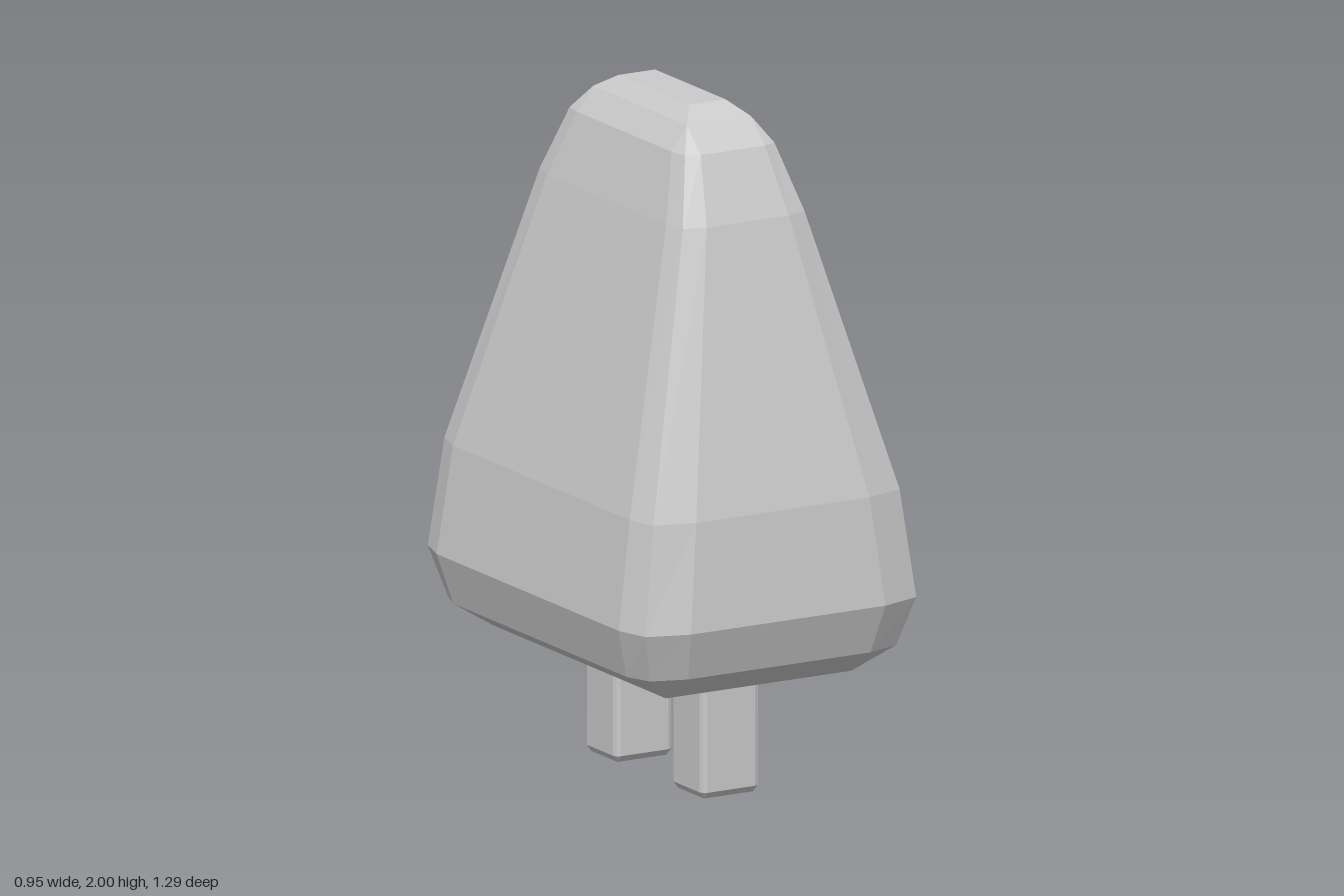
import * as THREE from 'three';

const grey = new THREE.MeshStandardMaterial({ color: 0xcccccc, flatShading: true });

// Rectangle with three-point chamfered corners.
// y, half width, half depth, corner inset in x and z, middle-point inset in x and z
function ring([y, hx, hz, cx = 0, cz = 0, mx = 0, mz = 0]) {
  const corner = [[hx, hz - cz], [hx - mx, hz - mz], [hx - cx, hz]];
  const points = [];
  for (const [sx, sz] of [[1, 1], [-1, 1], [-1, -1], [1, -1]]) {
    const ordered = sx * sz > 0 ? corner : [...corner].reverse();
    for (const [x, z] of ordered) points.push(new THREE.Vector3(sx * x, y, sz * z));
  }
  return points;
}

// Flat-faceted skin over rings listed from bottom to top
function loft(name, sections) {
  const rings = sections.map(ring);
  const n = rings[0].length;
  const pos = [];
  const tri = (a, b, c) => {
    const t = new THREE.Triangle(a, b, c);
    if (t.getArea() > 1e-8) for (const p of [a, b, c]) pos.push(p.x, p.y, p.z);
  };
  for (let r = 0; r < rings.length - 1; r++) {
    const lo = rings[r], hi = rings[r + 1];
    for (let i = 0; i < n; i++) {
      const j = (i + 1) % n;
      tri(lo[i], hi[i], lo[j]);
      tri(lo[j], hi[i], hi[j]);
    }
  }
  const first = rings[0], last = rings[rings.length - 1];
  const bottom = new THREE.Vector3(0, first[0].y, 0);
  const top = new THREE.Vector3(0, last[0].y, 0);
  for (let i = 0; i < n; i++) {
    const j = (i + 1) % n;
    tri(bottom, first[i], first[j]);
    tri(top, last[j], last[i]);
  }
  const geometry = new THREE.BufferGeometry();
  geometry.setAttribute('position', new THREE.Float32BufferAttribute(pos, 3));
  geometry.computeVertexNormals();
  const mesh = new THREE.Mesh(geometry, grey);
  mesh.name = name;
  return mesh;
}

export function createModel() {
  const model = new THREE.Group();
  model.name = 'taperedBlockOnPegs';

  // Tapered body with a narrow ridge on top
  model.add(loft('body', [
    [0.36, 0.305, 0.48],
    [0.44, 0.435, 0.595, 0.135, 0.115, 0.03, 0.035],
    [0.585, 0.475, 0.645, 0.155, 0.14, 0.03, 0.04],
    [0.9, 0.43, 0.615, 0.145, 0.125, 0.025, 0.035],
    [1.7, 0.215, 0.42, 0.08, 0.09, 0.015, 0.022],
    [1.89, 0.157, 0.337, 0.052, 0.075, 0.01, 0.017],
    [1.96, 0.105, 0.26],
    [2, 0.06, 0.195],
  ]));

  // Two pegs, front and back, flared where they meet the body
  for (const side of [1, -1]) {
    const peg = loft(side > 0 ? 'frontPeg' : 'backPeg', [
      [0, 0.08, 0.073],
      [0.02, 0.095, 0.089, 0.017, 0.017, 0.005, 0.005],
      [0.335, 0.095, 0.089, 0.017, 0.017, 0.005, 0.005],
      [0.347, 0.105, 0.095],
      [0.362, 0.16, 0.13],
    ]);
    peg.position.z = side * 0.24;
    model.add(peg);
  }
  return model;
}
